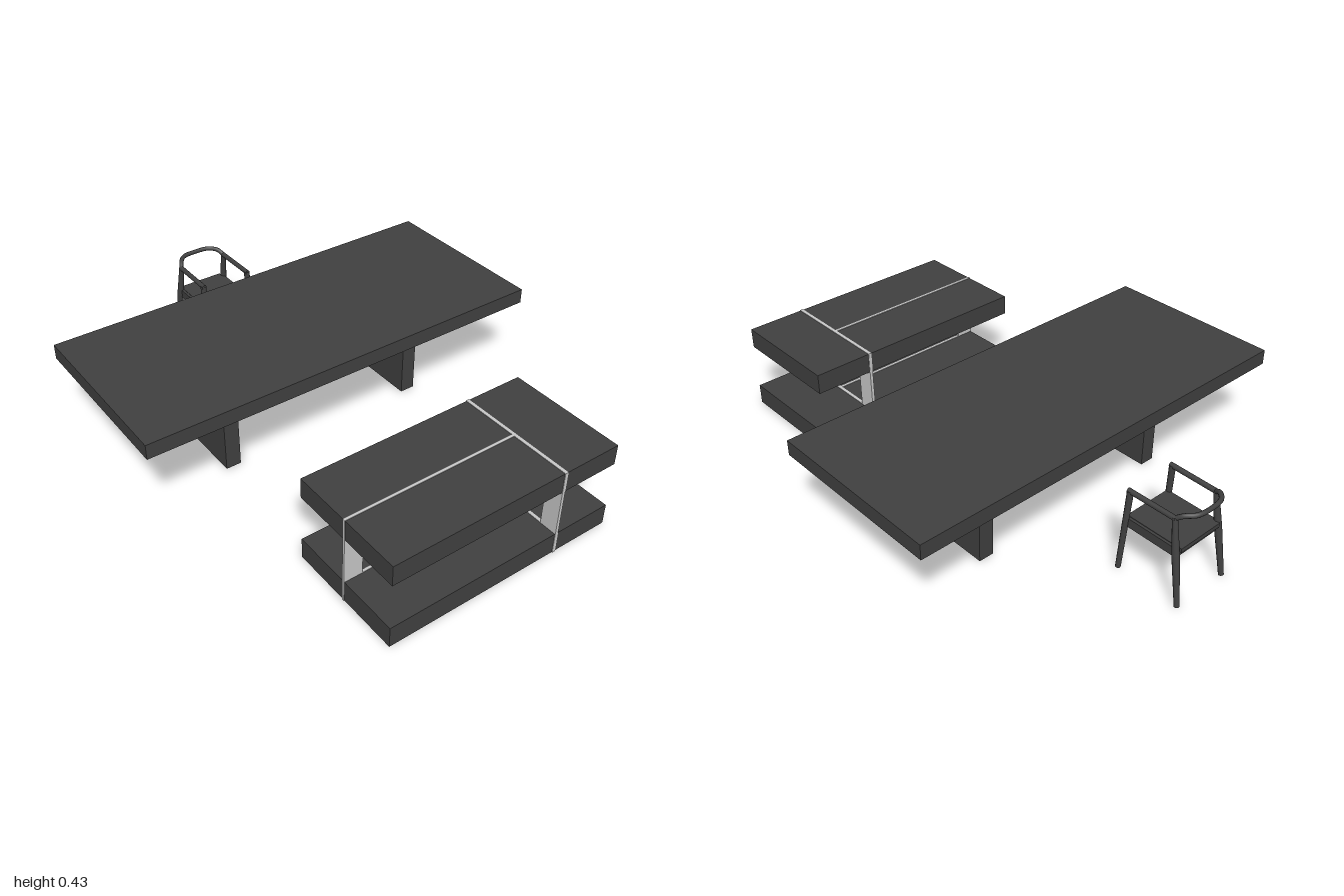
import * as THREE from 'three';

const dark = new THREE.MeshStandardMaterial({ color: 0x404040 });
dark.name = 'charcoal wood';
const pale = new THREE.MeshStandardMaterial({ color: 0xc8c8c8 });
pale.name = 'pale metal';

function add(parent, name, geometry, material) {
  const mesh = new THREE.Mesh(geometry, material);
  mesh.name = name;
  parent.add(mesh);
  return mesh;
}

// Box given by its extents on each axis
function block(parent, name, [x0, x1], [y0, y1], [z0, z1], material = dark) {
  const mesh = add(parent, name, new THREE.BoxGeometry(x1 - x0, y1 - y0, z1 - z0), material);
  mesh.position.set((x0 + x1) / 2, (y0 + y1) / 2, (z0 + z1) / 2);
  return mesh;
}

// Flat plate cut from a shape drawn in (x, y), or in (z, y) when sideways
function plate(parent, name, shape, depth, centre, material, sideways) {
  const g = new THREE.ExtrudeGeometry(shape, { depth, bevelEnabled: false, curveSegments: 8 });
  g.translate(0, 0, -depth / 2);
  if (sideways) g.rotateY(-Math.PI / 2).translate(centre, 0, 0);
  else g.translate(0, 0, centre);
  return add(parent, name, g, material);
}

const points = list => list.map(([x, y]) => new THREE.Vector2(x, y));

// Tapered round bar from a to b
function limb(parent, name, a, b, ra, rb) {
  const p = new THREE.Vector3(...a), q = new THREE.Vector3(...b);
  const mesh = add(parent, name, new THREE.CylinderGeometry(rb, ra, p.distanceTo(q), 12), dark);
  mesh.position.copy(p).add(q).multiplyScalar(0.5);
  mesh.quaternion.setFromUnitVectors(new THREE.Vector3(0, 1, 0), q.sub(p).normalize());
}

function makeDiningTable() {
  const table = new THREE.Group();
  table.name = 'diningTable';
  block(table, 'tableTop', [-0.844, 0.842], [0.365, 0.425], [-0.57, 0.15]);
  // Slab legs with softened upper corners
  const side = new THREE.Shape();
  side.moveTo(-0.385, 0.004);
  side.lineTo(-0.03, 0.004);
  side.lineTo(-0.03, 0.35);
  side.quadraticCurveTo(-0.055, 0.362, -0.09, 0.366);
  side.lineTo(-0.325, 0.366);
  side.quadraticCurveTo(-0.36, 0.362, -0.385, 0.35);
  for (const s of [-1, 1]) plate(table, 'tableLeg', side, 0.062, s * 0.421, dark, true);
  return table;
}

function makeCoffeeTable() {
  const table = new THREE.Group();
  table.name = 'coffeeTable';
  block(table, 'lowerSlab', [-0.483, 0.479], [0.006, 0.09], [0.516, 0.998]);
  block(table, 'upperSlab', [-0.483, 0.479], [0.278, 0.36], [0.516, 0.998]);
  // Closed frame running across both slabs
  const ring = new THREE.Shape(points([[0.514, 0.004], [1, 0.004], [1, 0.362], [0.514, 0.362]]));
  ring.holes.push(new THREE.Path(points([[0.59, 0.092], [0.59, 0.276], [0.928, 0.276], [0.928, 0.092]])));
  plate(table, 'crossFrame', ring, 0.013, 0.235, pale, true);
  // Open frame running lengthwise from the right end
  const bracket = new THREE.Shape(points([
    [-0.485, 0.004], [0.235, 0.004], [0.235, 0.092], [-0.41, 0.092],
    [-0.41, 0.276], [0.235, 0.276], [0.235, 0.362], [-0.485, 0.362],
  ]));
  plate(table, 'lengthFrame', bracket, 0.01, 0.755, pale, false);
  return table;
}

function makeChair() {
  const chair = new THREE.Group();
  chair.name = 'chair';
  block(chair, 'seat', [-0.098, 0.098], [0.208, 0.225], [-0.966, -0.73]);
  block(chair, 'frontRail', [-0.1, 0.1], [0.187, 0.21], [-0.752, -0.738]);
  block(chair, 'backRail', [-0.1, 0.1], [0.187, 0.21], [-0.955, -0.941]);
  for (const s of [-1, 1]) {
    block(chair, 'sideRail', [s * 0.1 - 0.009, s * 0.1 + 0.009], [0.187, 0.223], [-0.95, -0.74]);
    limb(chair, 'frontLeg', [s * 0.116, 0, -0.722], [s * 0.106, 0.338, -0.742], 0.01, 0.012);
    // Back leg: slim foot, thicker at the seat, slimmer again at the arm
    limb(chair, 'backLegLower', [s * 0.117, 0, -0.988], [s * 0.109, 0.2, -0.953], 0.01, 0.014);
    limb(chair, 'backLegUpper', [s * 0.109, 0.2, -0.953], [s * 0.104, 0.34, -0.93], 0.014, 0.01);
    limb(chair, 'armRest', [s * 0.106, 0.336, -0.733], [s * 0.104, 0.336, -0.935], 0.01, 0.01);
  }
  // Curved back rail joining the two arms
  const half = [[0.104, 0.336, -0.93], [0.09, 0.352, -0.955], [0.06, 0.356, -0.983]];
  const path = [
    ...half.map(([x, y, z]) => new THREE.Vector3(-x, y, z)),
    new THREE.Vector3(0, 0.356, -0.991),
    ...half.reverse().map(p => new THREE.Vector3(...p)),
  ];
  add(chair, 'curvedBack', new THREE.TubeGeometry(new THREE.CatmullRomCurve3(path), 40, 0.009, 10), dark);
  chair.position.x = -0.007;
  return chair;
}

export function createModel() {
  const model = new THREE.Group();
  model.name = 'diningSet';
  model.add(makeDiningTable(), makeCoffeeTable(), makeChair());
  return model;
}
